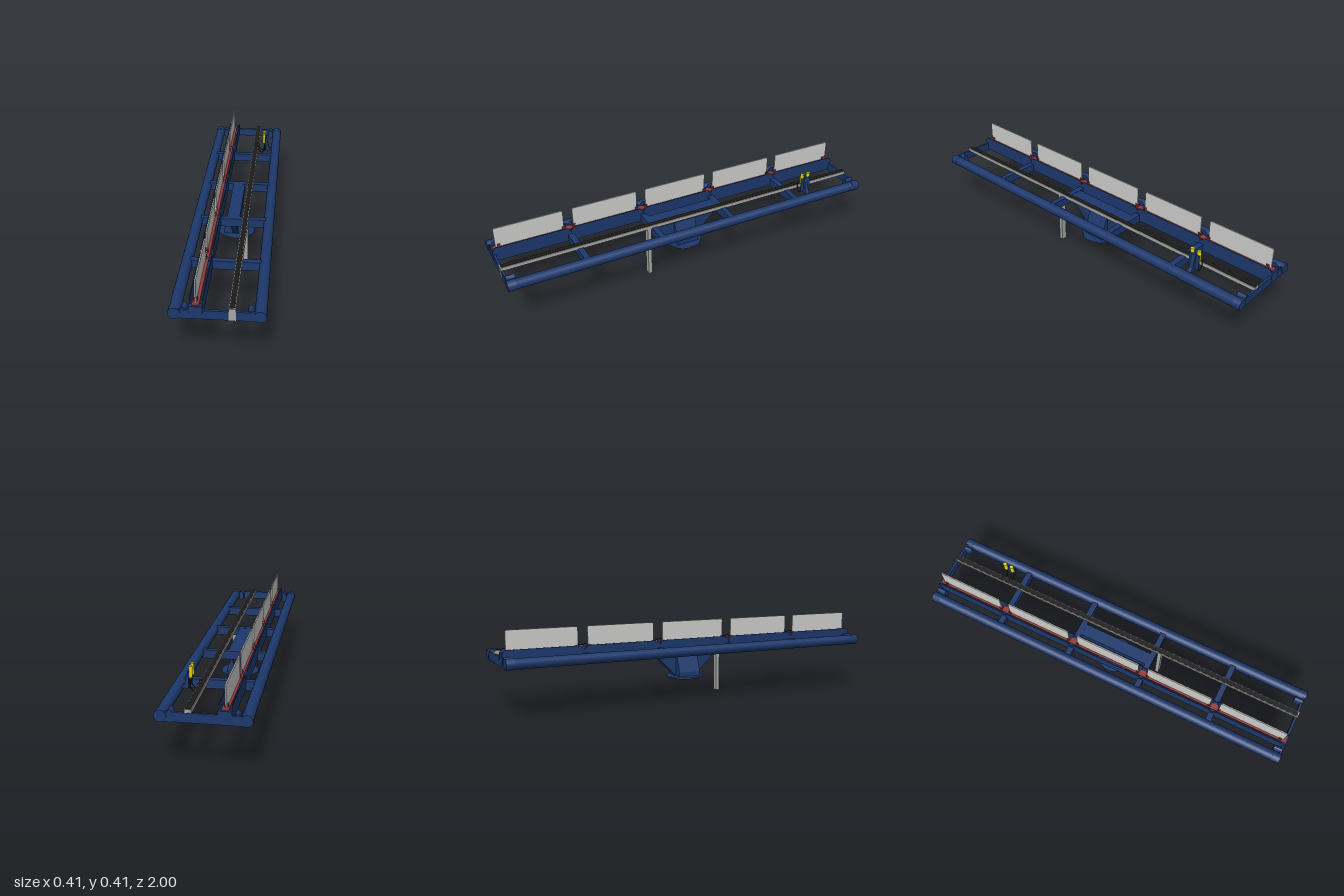
import * as THREE from 'three';

const mat = (name, color) => {
  const m = new THREE.MeshStandardMaterial({ color });
  m.name = name;
  return m;
};

export function createModel() {
  const root = new THREE.Group();
  root.name = 'panelFrame';
  const navy = mat('navy', 0x1c386c);
  const grey = mat('grey', 0xa6a6a5);
  const paleGrey = mat('paleGrey', 0xcdcdca);
  const black = mat('black', 0x1c1b1a);
  const red = mat('red', 0x92393c);
  const yellow = mat('yellow', 0xe4de04);

  const add = (name, geo, material, x = 0, y = 0, z = 0) => {
    const m = new THREE.Mesh(geo, material);
    m.name = name;
    m.position.set(x, y, z);
    root.add(m);
    return m;
  };
  // Box given by its limits on each axis
  const box = (name, material, x0, x1, y0, y1, z0, z1) =>
    add(name, new THREE.BoxGeometry(x1 - x0, y1 - y0, z1 - z0), material,
      (x0 + x1) / 2, (y0 + y1) / 2, (z0 + z1) / 2);
  const shapeOf = pts => new THREE.Shape(pts.map(p => new THREE.Vector2(...p)));
  // Outline in (x, y), thickness along z
  const plateZ = (name, material, pts, t, z) => {
    const g = new THREE.ExtrudeGeometry(shapeOf(pts), { depth: t, bevelEnabled: false });
    return add(name, g.translate(0, 0, -t / 2), material, 0, 0, z);
  };
  // Outline in (z, y), thickness along x
  const plateX = (name, material, pts, t, x, z = 0) => {
    const g = new THREE.ExtrudeGeometry(shapeOf(pts), { depth: t, bevelEnabled: false });
    return add(name, g.translate(0, 0, -t / 2).rotateY(-Math.PI / 2), material, x, 0, z);
  };
  const cylZ = (r, len, n = 24) => new THREE.CylinderGeometry(r, r, len, n).rotateX(Math.PI / 2);

  // Long side tubes with end collars and end lugs
  for (const s of [-1, 1]) {
    add('sideTube', cylZ(0.0258, 1.99), navy, s * 0.18, 0.265, 0);
    for (const e of [-1, 1]) {
      add('tubeCollar', cylZ(0.027, 0.04, 16), navy, s * 0.18, 0.265, e * 0.98);
      const lug = add('endLug', cylZ(0.029, 0.045), navy, s * 0.14, 0.264, e * 0.972);
      lug.scale.x = 0.5;
    }
  }

  // Cross members
  for (const e of [-1, 1]) {
    box('endPlate', navy, -0.18, 0.18, 0.241, 0.284, e * 0.991 - 0.006, e * 0.991 + 0.006);
    for (const z of [0.2, 0.6])
      box('crossBar', navy, -0.165, 0.165, 0.241, 0.284, e * z - 0.015, e * z + 0.015);
  }

  // Centre beam and tapered pedestal on a round base
  box('centreBeam', navy, -0.032, 0.032, 0.241, 0.283, -0.19, 0.19);
  plateX('pedestalWeb', navy,
    [[-0.06, 0.111], [0.06, 0.111], [0.19, 0.242], [-0.19, 0.242]], 0.032, 0);
  plateZ('pedestalCore', navy,
    [[-0.06, 0.111], [0.06, 0.111], [0.06, 0.135], [0.021, 0.242], [-0.021, 0.242], [-0.06, 0.135]], 0.12, 0);
  const disc = [[0, 0], [0.096, 0], [0.0995, 0.003], [0.0995, 0.008], [0.096, 0.011], [0, 0.011]];
  add('baseDisc', new THREE.LatheGeometry(disc.map(p => new THREE.Vector2(...p)), 40), navy, 0.0015, 0.102, 0);

  // Guide rail with a dark track between grey rims, and the post below it
  box('guideRail', grey, 0.048, 0.078, 0.28, 0.299, -0.995, 0.995);
  box('railTrack', black, 0.0515, 0.0745, 0.299, 0.301, -0.993, 0.993);
  box('railEnd', grey, 0.048, 0.078, 0.241, 0.3, 0.995, 1);
  box('post', grey, 0.048, 0.078, 0, 0.29, 0.22, 0.24);

  // Panel trough: paired upright guards in five bays, each with a standing panel
  const guard = [[-0.198, 0.245], [0.198, 0.245], [0.198, 0.305], [0.182, 0.322], [-0.182, 0.322], [-0.198, 0.305]];
  const panel = [[-0.175, 0.304], [0.175, 0.304], [0.175, 0.406], [0.169, 0.412], [-0.169, 0.412], [-0.175, 0.406]];
  for (let i = -2; i <= 2; i++) {
    const z = i * 0.4;
    for (const x of [-0.118, -0.062]) plateX('guard', navy, guard, 0.003, x, z);
    plateX('panel', paleGrey, panel, 0.006, -0.092, z);
  }
  box('panelStrip', red, -0.106, -0.075, 0.302, 0.306, -0.99, 0.99);

  // Saddles at the bay joints, with bolted clamps holding the panel ends
  for (const z of [-0.985, -0.6, -0.2, 0.2, 0.6, 0.985]) {
    box('saddle', navy, -0.118, -0.062, 0.283, 0.302, z - 0.012, z + 0.012);
    for (const d of [-0.027, 0.027]) {
      if (Math.abs(z + d) > 0.99) continue;
      for (const x of [-0.098, -0.086])
        box('clampJaw', red, x - 0.002, x + 0.002, 0.306, 0.322, z + d - 0.008, z + d + 0.008);
      const bolt = new THREE.CylinderGeometry(0.003, 0.003, 0.02, 10).rotateZ(Math.PI / 2);
      add('clampBolt', bolt, black, -0.092, 0.315, z + d);
    }
  }

  // Twin actuators on a bracket
  plateZ('actuatorBracket', navy,
    [[0.118, 0.27], [0.16, 0.27], [0.143, 0.292], [0.125, 0.361], [0.118, 0.364]], 0.02, -0.69);
  for (const z of [-0.71, -0.672]) {
    box('actuatorStem', navy, 0.118, 0.123, 0.28, 0.362, z - 0.009, z + 0.009);
    const body = add('actuatorBody', new THREE.CylinderGeometry(0.0082, 0.0082, 0.036, 16), yellow, 0.112, 0.347, z);
    const cap = add('actuatorCap', new THREE.CylinderGeometry(0.0085, 0.0085, 0.019, 16), yellow, 0.112, 0.373, z);
    body.scale.z = cap.scale.z = 1.3;
    add('actuatorCollar', new THREE.CylinderGeometry(0.0045, 0.0045, 0.008, 12), red, 0.114, 0.326, z);
    add('actuatorRod', new THREE.CylinderGeometry(0.003, 0.003, 0.05, 10), black, 0.115, 0.306, z);
    const hook = new THREE.CatmullRomCurve3([[0.115, 0.285], [0.1, 0.264], [0.083, 0.278],
      [0.08, 0.298], [0.075, 0.305], [0.069, 0.3]].map(p => new THREE.Vector3(p[0], p[1], z)));
    add('hook', new THREE.TubeGeometry(hook, 24, 0.0025, 8), black);
  }
  return root;
}
